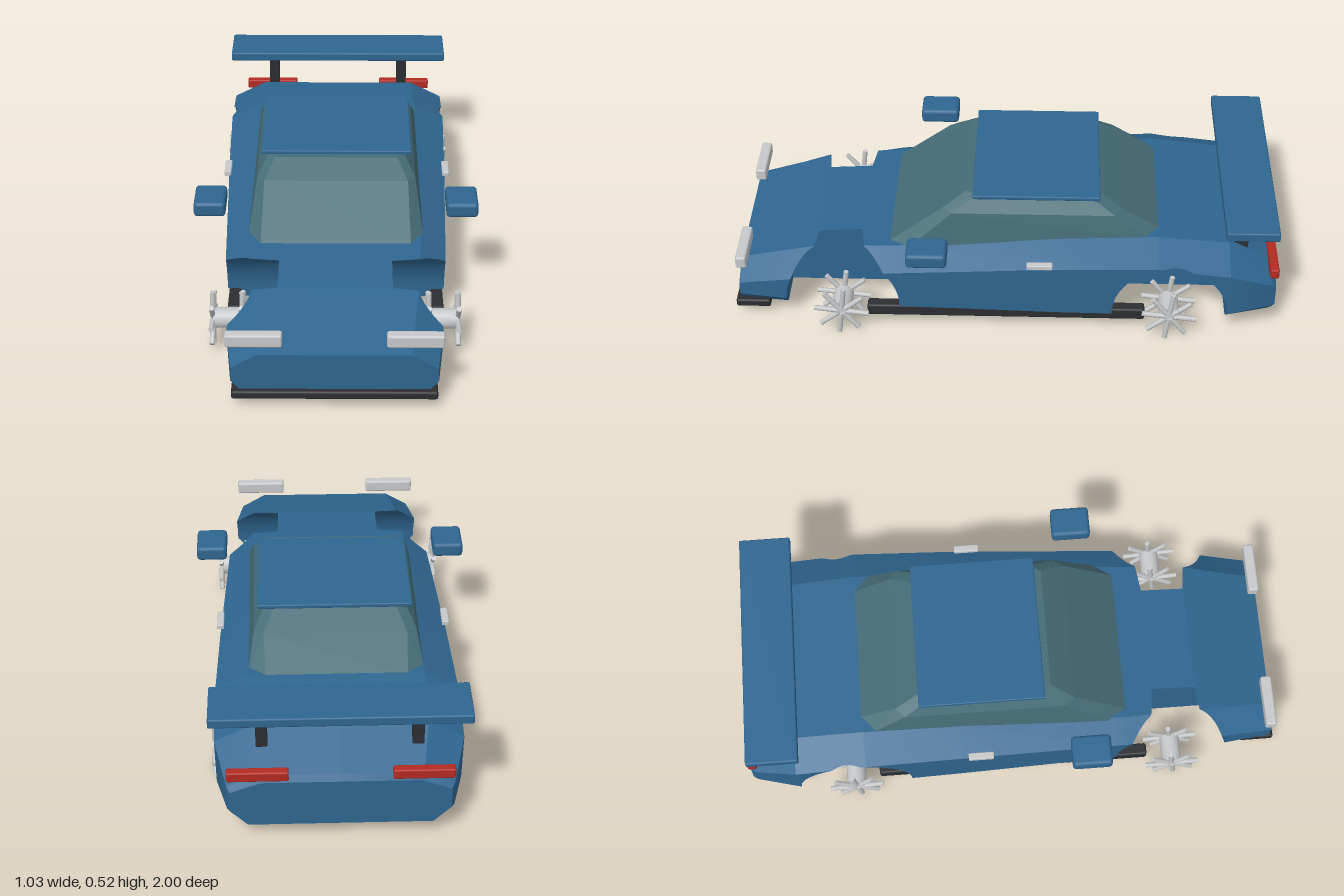
import * as THREE from 'three';
import { toCreasedNormals } from 'three/addons/utils/BufferGeometryUtils.js';
import { RoundedBoxGeometry } from 'three/addons/geometries/RoundedBoxGeometry.js';
import { ConvexGeometry } from 'three/addons/geometries/ConvexGeometry.js';

const material = (name, color) => Object.assign(new THREE.MeshStandardMaterial({ color }), { name });

const FLOOR = 0.06, WELL_X = 0.2; // underside height, inner wall of the wheel wells
const ARCH = { y: 0.105, r: 0.21, z: [0.595, -0.607] };

// Body stations: z, then x/y of deck edge, shoulder, lower crease, and x of the floor edge
const STATIONS = [
  [0.98, 0.26, 0.208, 0.35, 0.155, 0.352, 0.105, 0.315],
  [0.69, 0.29, 0.29, 0.385, 0.215, 0.383, 0.1, 0.345],
  [0.42, 0.305, 0.307, 0.396, 0.25, 0.394, 0.095, 0.355],
  [-0.2, 0.31, 0.357, 0.418, 0.3, 0.414, 0.095, 0.37],
  [-0.56, 0.31, 0.373, 0.428, 0.315, 0.424, 0.1, 0.375],
  [-0.82, 0.305, 0.348, 0.428, 0.285, 0.424, 0.11, 0.37],
  [-0.98, 0.28, 0.262, 0.385, 0.215, 0.385, 0.12, 0.325],
  [-0.995, 0.27, 0.24, 0.375, 0.2, 0.375, 0.12, 0.315],
];

function stationAt(z) {
  let k = 0;
  while (k < STATIONS.length - 2 && z < STATIONS[k + 1][0]) k++;
  const a = STATIONS[k], b = STATIONS[k + 1];
  const t = (z - a[0]) / (b[0] - a[0]);
  return a.map((v, i) => v + (b[i] - v) * t);
}

// Lowest point of the side panel at z: the floor, or the arch above a wheel
function archHeight(z) {
  for (const c of ARCH.z) {
    const d = Math.abs(z - c);
    if (d < ARCH.r) return ARCH.y + Math.sqrt(ARCH.r ** 2 - d * d);
  }
  return FLOOR;
}

// Closed cross-section at z, with the wheel well cut away
function ringAt(z) {
  const [, xt, yt, xs, ys, xl, yl, xb] = stationAt(z);
  const outline = [[xb, FLOOR], [xl, yl], [xs, ys], [xt, yt]];
  const ya = Math.min(archHeight(z), yt);
  let cut = [WELL_X, yt];
  for (let i = 0; i < 3; i++) {
    const [a, b] = [outline[i], outline[i + 1]];
    if (ya >= a[1] && ya < b[1]) cut = [a[0] + (b[0] - a[0]) * (ya - a[1]) / (b[1] - a[1]), ya];
  }
  const side = outline.map((p) => (p[1] <= ya ? cut : p));
  const half = [[WELL_X, FLOOR], [WELL_X, ya], ...side];
  const mirrored = half.map(([x, y]) => [-x, y]).reverse();
  return [[0, FLOOR], ...half, [0, yt], ...mirrored].map(([x, y]) => new THREE.Vector3(x, y, z));
}

function bodyGeometry() {
  const zs = STATIONS.map((s) => s[0]);
  for (const c of ARCH.z) {
    zs.push(c + ARCH.r + 0.0005, c - ARCH.r - 0.0005);
    for (let i = 0; i <= 48; i++) zs.push(c + (ARCH.r - 0.0005) * Math.cos(Math.PI * i / 48));
  }
  zs.sort((a, b) => b - a);
  const rings = zs.map(ringAt), n = rings[0].length, pos = [];
  const tri = (a, b, c) => {
    const area = b.clone().sub(a).cross(c.clone().sub(a)).length();
    if (area > 1e-9) for (const p of [a, b, c]) pos.push(p.x, p.y, p.z);
  };
  for (let j = 0; j < rings.length - 1; j++) {
    for (let i = 0; i < n; i++) {
      const k = (i + 1) % n, f = rings[j], r = rings[j + 1];
      tri(f[i], r[i], f[k]);
      tri(f[k], r[i], r[k]);
    }
  }
  const front = rings[0], back = rings[rings.length - 1];
  for (let i = 1; i < n - 1; i++) {
    tri(front[0], front[i], front[i + 1]);
    tri(back[0], back[i + 1], back[i]);
  }
  const g = new THREE.BufferGeometry();
  g.setAttribute('position', new THREE.Float32BufferAttribute(pos, 3));
  return toCreasedNormals(g, 0.35);
}

// Glasshouse: faceted hull through three mirrored rings
function cabinGeometry() {
  const rows = [
    [0.27, 0.3, 0.43], [0.315, 0.31, 0.35], [0.31, 0.365, -0.52], [0.25, 0.368, -0.57],
    [0.262, 0.455, 0.225], [0.29, 0.45, 0.19], [0.29, 0.45, -0.4], [0.255, 0.455, -0.43],
    [0.225, 0.507, 0.14], [0.25, 0.507, 0.1], [0.25, 0.507, -0.31], [0.22, 0.507, -0.34],
  ];
  return new ConvexGeometry(rows.flatMap(([x, y, z]) =>
    [new THREE.Vector3(x, y, z), new THREE.Vector3(-x, y, z)]));
}

export function createModel() {
  const car = new THREE.Group();
  car.name = 'sportsCar';
  const paint = material('bluePaint', 0x2f6690);
  const glass = material('tintedGlass', 0x456c76);
  const trim = material('blackTrim', 0x2b2e31);
  const metal = material('silver', 0xc6c8ca);
  const red = material('redLens', 0xb32a22);

  const add = (name, geometry, mat, parent = car) => {
    const mesh = new THREE.Mesh(geometry, mat);
    mesh.name = name;
    parent.add(mesh);
    return mesh;
  };
  // Rounded block given by its extents on each axis
  const block = (name, mat, [x0, x1], [y0, y1], [z0, z1], r = 0.006) => {
    const mesh = add(name, new RoundedBoxGeometry(x1 - x0, y1 - y0, z1 - z0, 2, r), mat);
    mesh.position.set((x0 + x1) / 2, (y0 + y1) / 2, (z0 + z1) / 2);
  };
  const pair = (name, mat, [x0, x1], y, z, r) => {
    block(name + 'Left', mat, [x0, x1], y, z, r);
    block(name + 'Right', mat, [-x1, -x0], y, z, r);
  };

  add('body', bodyGeometry(), paint);
  add('cabinGlass', cabinGeometry(), glass);
  block('roof', paint, [-0.277, 0.277], [0.504, 0.52], [-0.345, 0.115], 0.004);

  // Aerodynamic parts
  block('frontSplitter', trim, [-0.35, 0.35], [0.04, 0.071], [0.872, 1], 0.008);
  pair('sideSkirt', trim, [0.345, 0.39], [0.045, 0.092], [-0.52, 0.505], 0.008);
  block('rearWing', paint, [-0.44, 0.44], [0.46, 0.495], [-0.98, -0.79]);
  pair('wingPost', trim, [0.245, 0.285], [0.31, 0.465], [-0.89, -0.835], 0.004);

  // Lights, mirrors and handles
  pair('headlight', metal, [0.175, 0.368], [0.238, 0.286], [0.944, 0.984], 0.008);
  pair('tailLight', red, [0.175, 0.385], [0.248, 0.286], [-1, -0.967]);
  pair('mirror', paint, [0.399, 0.514], [0.369, 0.426], [0.2, 0.346], 0.014);
  pair('doorHandle', metal, [0.405, 0.431], [0.305, 0.324], [-0.177, -0.083], 0.004);

  // Open wheels: a barrel hub between two stars of spokes
  const hub = new THREE.CylinderGeometry(0.037, 0.037, 0.1, 16).rotateZ(Math.PI / 2);
  const spoke = new THREE.CylinderGeometry(0.0095, 0.0095, 0.088, 8).translate(0, 0.056, 0);
  for (const z of ARCH.z) {
    for (const side of [1, -1]) {
      const wheel = new THREE.Group();
      wheel.name = (z > 0 ? 'front' : 'rear') + 'Wheel' + (side > 0 ? 'Left' : 'Right');
      wheel.position.set(side * 0.383, 0.103, z);
      add('hub', hub, metal, wheel);
      for (const x of [-0.052, 0.052]) {
        for (let i = 0; i < 8; i++) {
          const s = add('spoke', spoke, metal, wheel);
          s.position.x = x;
          s.rotation.x = i * Math.PI / 4 - 0.12;
        }
      }
      car.add(wheel);
    }
  }
  return car;
}
